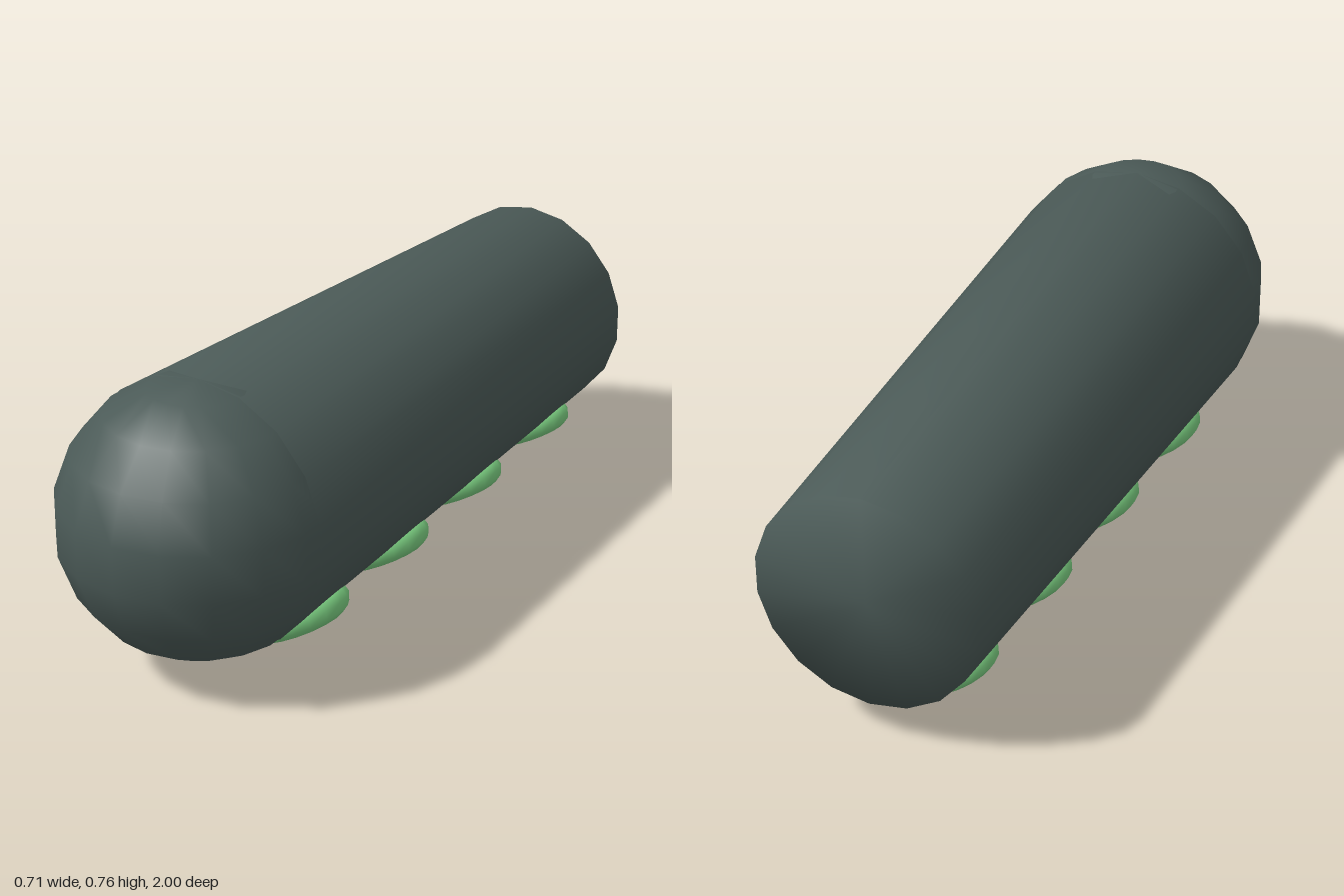
import * as THREE from 'three';

export function createModel() {
  const model = new THREE.Group();
  model.name = 'tentacleSegment';

  const skin = new THREE.MeshStandardMaterial({ color: 0x4b5a57 });
  skin.name = 'dark grey green skin';
  const suckerGreen = new THREE.MeshStandardMaterial({ color: 0x7dd283 });
  suckerGreen.name = 'light green sucker';

  const axisY = 0.398, frontZ = 0.6435, backZ = -1;
  const frontR = 0.362, backR = 0.295, sides = 18;

  // Tapered body with closed ends, smooth over the rims
  const profile = [[0, backZ], [backR, backZ], [frontR, frontZ], [0, frontZ]]
    .map(([r, z]) => new THREE.Vector2(r, z));
  const body = new THREE.Mesh(new THREE.LatheGeometry(profile, sides).rotateX(Math.PI / 2), skin);
  body.name = 'body';
  body.position.y = axisY;
  model.add(body);

  // Round front tip
  const tip = new THREE.Mesh(new THREE.SphereGeometry(frontR, sides, 9).rotateY(Math.PI / 2), skin);
  tip.name = 'roundTip';
  tip.position.set(0, axisY, frontZ);
  model.add(tip);

  // Two rows of ring suckers underneath, shrinking towards the back
  const torus = new THREE.TorusGeometry(0.1045, 0.04, 10, 18).rotateX(Math.PI / 2);
  const tilt = THREE.MathUtils.degToRad(24);
  const suckers = new THREE.Group();
  suckers.name = 'suckers';
  for (let i = 0; i < 4; i++) {
    const z = 0.44 - i * 0.4115;
    const t = (frontZ - z) / (frontZ - backZ);
    const r = THREE.MathUtils.lerp(frontR, backR, t) * 0.98;
    for (const side of [1, -1]) {
      const sucker = new THREE.Mesh(torus, suckerGreen);
      sucker.name = (side > 0 ? 'leftSucker' : 'rightSucker') + (i + 1);
      sucker.position.set(side * r * Math.sin(tilt), axisY - r * Math.cos(tilt), z);
      sucker.rotation.z = side * tilt;
      sucker.scale.setScalar(1 - 0.05 * i);
      suckers.add(sucker);
    }
  }
  model.add(suckers);

  return model;
}
